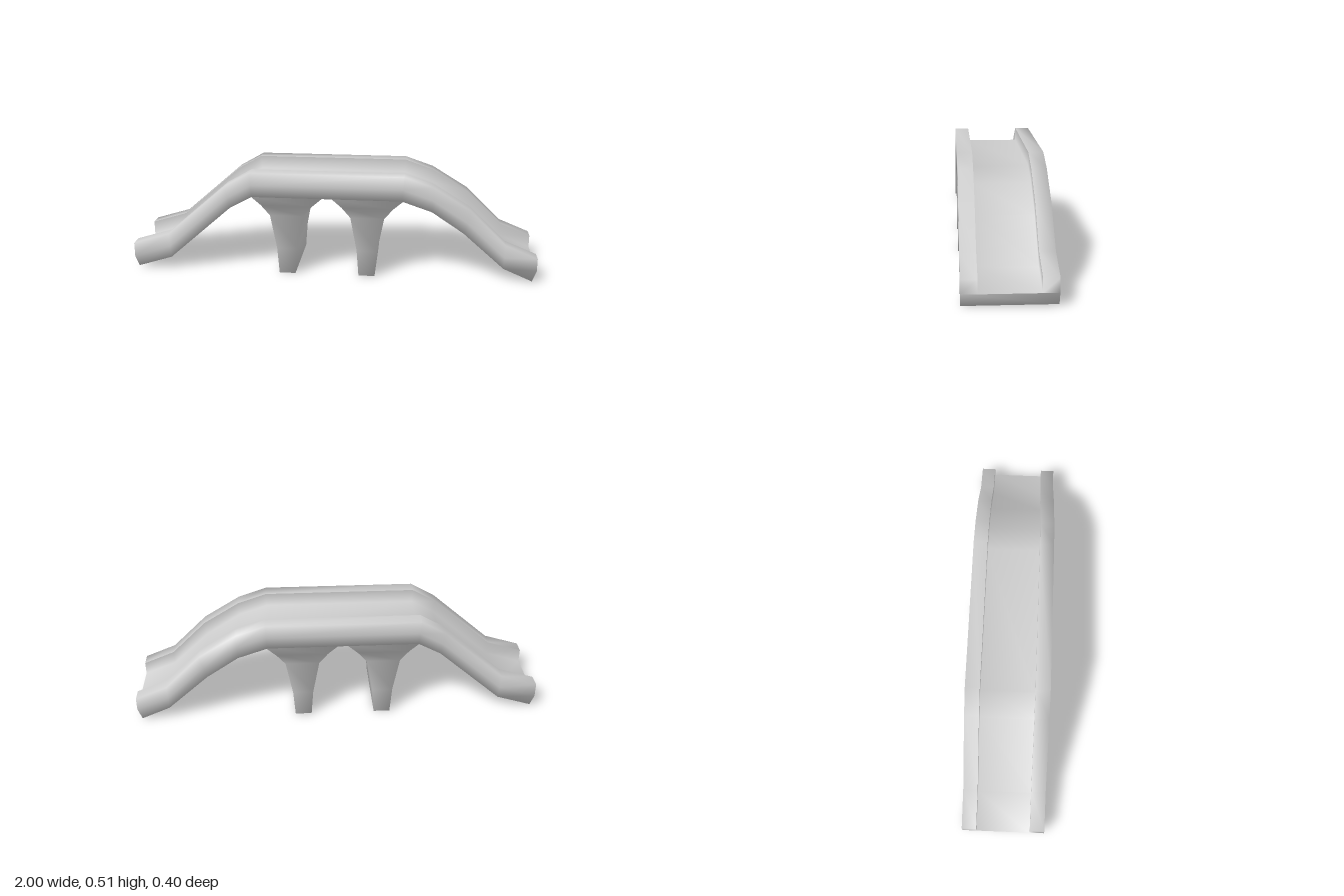
import * as THREE from 'three';

const material = new THREE.MeshStandardMaterial({ color: 0xcccccc, side: THREE.DoubleSide });

// Smooth indexed mesh from rings of points; strips lists the ring edges to skin
function loft(name, rings, strips, caps) {
  const n = rings[0].length, last = (rings.length - 1) * n, index = [];
  for (let s = 0; s < rings.length - 1; s++) {
    for (const [i, j] of strips) {
      const a = s * n + i, b = s * n + j;
      index.push(a, b, a + n, b, b + n, a + n);
    }
  }
  for (const [a, b, c, d] of caps.start) index.push(a, c, b, a, d, c);
  for (const [a, b, c, d] of caps.end) {
    index.push(last + a, last + b, last + c, last + a, last + c, last + d);
  }
  const g = new THREE.BufferGeometry();
  g.setAttribute('position', new THREE.Float32BufferAttribute(rings.flat(2), 3));
  g.setIndex(index);
  g.computeVertexNormals();
  const mesh = new THREE.Mesh(g, material);
  mesh.name = name;
  return mesh;
}

// Channel-shaped span: parapets on both sides of a sunken walkway
function makeSpan() {
  const W = 0.2, I = 0.13;
  // parapet top x, y, underside x, y along the span
  const stations = [
    [-1, 0.13, -0.98, 0.01],
    [-0.82, 0.185, -0.81, 0.063],
    [-0.52, 0.445, -0.5, 0.333],
    [-0.4, 0.513, -0.39, 0.392],
    [0.35, 0.513, 0.34, 0.392],
    [0.49, 0.465, 0.485, 0.343],
    [0.67, 0.355, 0.64, 0.24],
    [0.845, 0.185, 0.84, 0.065],
    [1, 0.122, 0.98, 0.005],
  ];
  const rings = stations.map(([tx, ty, bx, by], i) => {
    const end = i === 0 || i === stations.length - 1;
    const mx = end ? tx : (tx + bx) / 2;
    const my = end ? 0.06 : (ty + by) / 2 - 0.004;
    return [
      [tx, ty, I], [tx, ty, W], [mx, my, W], [bx, by, W],
      [bx, by, -W], [mx, my, -W], [tx, ty, -W], [tx, ty, -I],
      // walkway and inner walls, separate so their edges stay sharp
      [tx, ty, -I], [mx, my, -I], [mx, my, I], [tx, ty, I],
    ];
  });
  const strips = [0, 1, 2, 3, 4, 5, 6, 8, 9, 10].map((k) => [k, k + 1]);
  const faces = [[0, 1, 2, 10], [2, 3, 4, 5], [9, 5, 6, 7]];
  return loft('bridgeSpan', rings, strips, { start: faces, end: faces });
}

// Pier flaring up into the underside of the span
function makePier(name, x) {
  const profile = [[0.04, 0], [0.05, 0.13], [0.082, 0.3], [0.125, 0.35], [0.175, 0.393]];
  const Z = 0.198;
  const rings = profile.map(([h, y]) => [[h, y, Z], [h, y, -Z], [-h, y, -Z], [-h, y, Z]]);
  const pier = loft(name, rings, [[0, 1], [1, 2], [2, 3], [3, 0]], {
    start: [[0, 1, 2, 3]], end: [],
  });
  pier.position.x = x;
  return pier;
}

export function createModel() {
  const group = new THREE.Group();
  group.name = 'footbridge';
  group.add(makeSpan(), makePier('rightPier', -0.22), makePier('leftPier', 0.175));
  return group;
}
